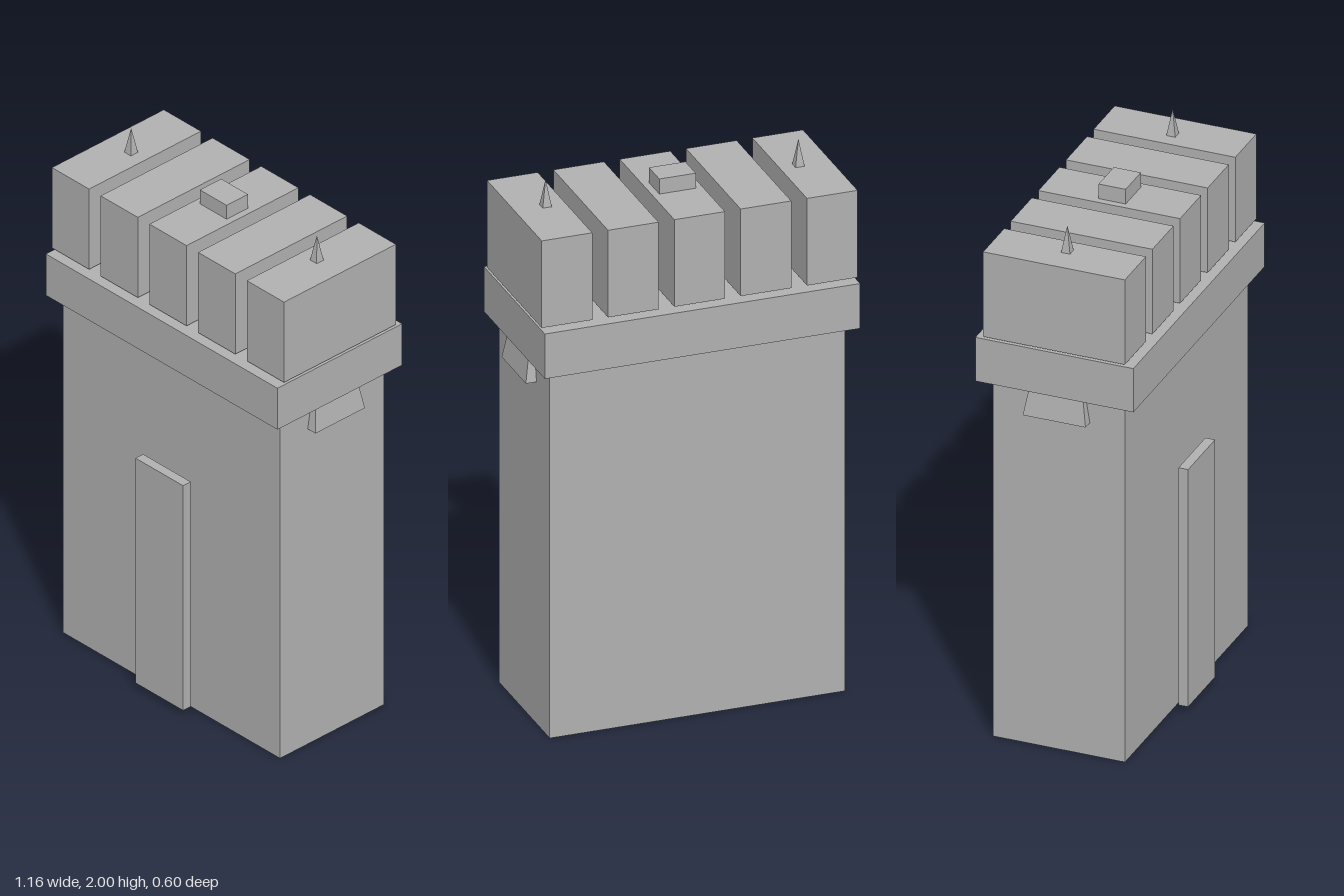
import * as THREE from 'three';

export function createModel() {
  const model = new THREE.Group();
  model.name = 'castleTower';
  const stone = new THREE.MeshStandardMaterial({ color: 0xb0b0b0 });
  stone.name = 'stone grey';

  // Box given by its limits on each axis
  function block(name, x0, x1, y0, y1, z0, z1) {
    const mesh = new THREE.Mesh(new THREE.BoxGeometry(x1 - x0, y1 - y0, z1 - z0), stone);
    mesh.position.set((x0 + x1) / 2, (y0 + y1) / 2, (z0 + z1) / 2);
    mesh.name = name;
    model.add(mesh);
  }

  // Main walls, door and overhanging parapet
  block('walls', -0.543, 0.543, 0, 1.39, -0.25, 0.243);
  block('door', -0.12, 0.118, 0.02, 0.944, 0.264, 0.3);
  block('parapet', -0.58, 0.58, 1.39, 1.56, -0.3, 0.29);

  // Five battlement blocks, just clear of the parapet
  for (let i = -2; i <= 2; i++) {
    const x = i * 0.244 - 0.001;
    block('battlement', x - 0.093, x + 0.093, 1.57, 1.9, -0.27, 0.259);
  }

  // Small raised block on the middle battlement
  block('roofHatch', -0.068, 0.066, 1.5, 1.957, -0.056, 0.045);

  // Tall pyramids: their bases jut from the side walls, their tips pierce the roof
  const spire = new THREE.ConeGeometry(0.117 * Math.SQRT2, 0.705, 4).toNonIndexed();
  spire.rotateY(Math.PI / 4);
  spire.computeVertexNormals();
  for (const side of [-1, 1]) {
    const mesh = new THREE.Mesh(spire, stone);
    mesh.position.set(side * 0.465, 1.295 + 0.705 / 2, -0.005);
    mesh.name = side > 0 ? 'leftSpire' : 'rightSpire';
    model.add(mesh);
  }

  return model;
}
